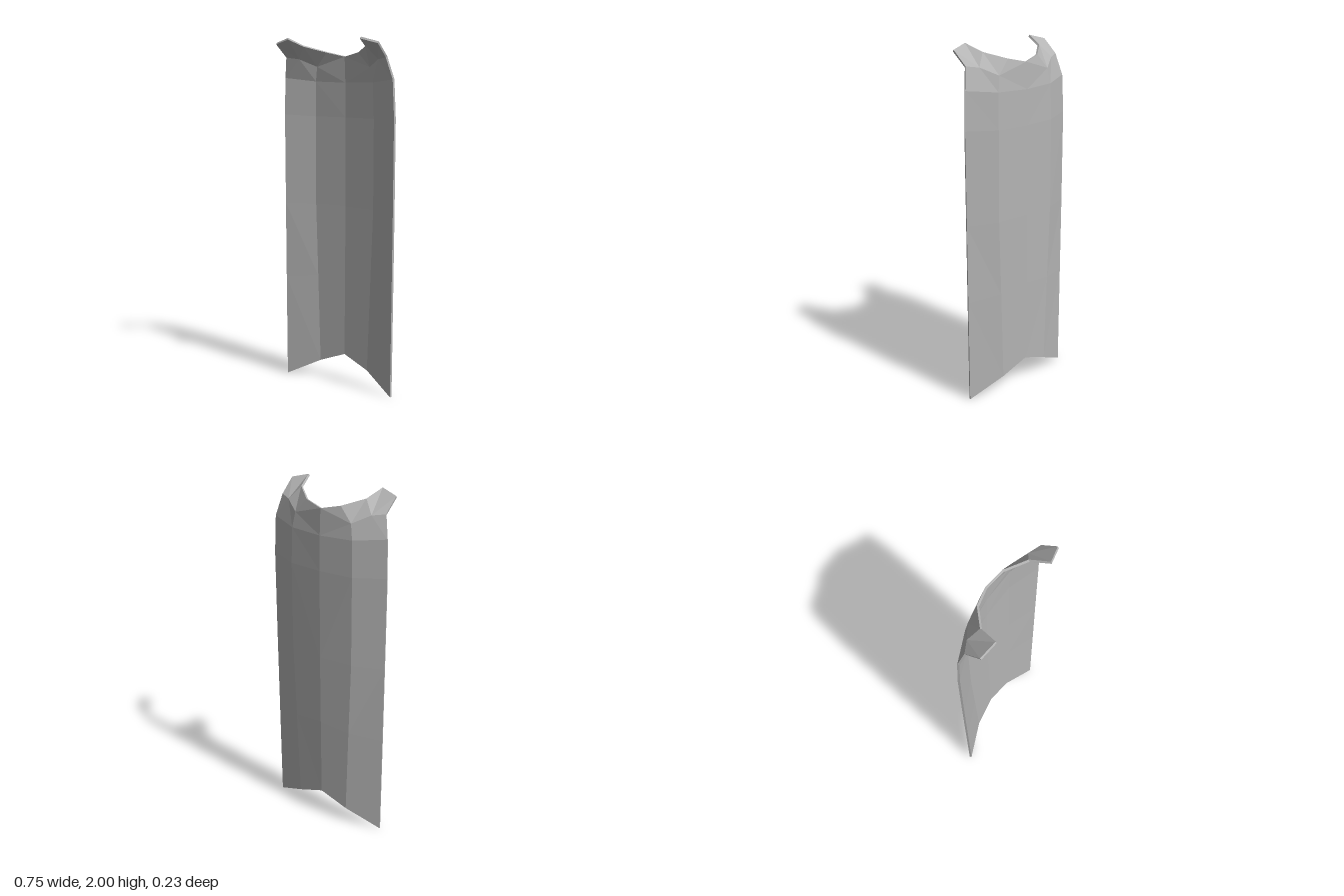
import * as THREE from 'three';

const THICKNESS = 0.012;

// Left half of the back surface: columns run centre, fold, side edge
const bodyRows = [
  [[0, 0.165, -0.112], [0.168, 0.1, -0.1], [0.367, 0, -0.033]],
  [[0, 0.64, -0.117], [0.185, 0.62, -0.103], [0.37, 0.6, -0.034]],
  [[0, 1.05, -0.12], [0.2, 1.05, -0.105], [0.372, 1.05, -0.035]],
  [[0, 1.56, -0.119], [0.2, 1.56, -0.105], [0.373, 1.57, -0.035]],
  [[0, 1.755, -0.116], [0.195, 1.76, -0.1], [0.364, 1.78, -0.031]],
];
// Collar and shoulder tabs
const collar = {
  fold: [0.18, 1.845, -0.09], shoulder: [0.268, 1.89, -0.035], side: [0.335, 1.9, -0.003],
  neck0: [0, 1.9, -0.108], neck1: [0.11, 1.925, -0.082], neck2: [0.21, 1.96, 0.003],
  tabIn: [0.24, 2, 0.107], tabOut: [0.337, 1.975, 0.086],
};

function halfPolygons() {
  const polys = [];
  for (let r = 0; r < bodyRows.length - 1; r++) {
    const a = bodyRows[r], b = bodyRows[r + 1];
    for (let c = 0; c < 2; c++) polys.push([a[c], a[c + 1], b[c + 1], b[c]]);
  }
  const [a0, a1, a2] = bodyRows[bodyRows.length - 1];
  const k = collar;
  polys.push(
    [k.fold, k.neck1, k.neck0, a0, a1],
    [k.shoulder, k.fold, a1, a2, k.side],
    [k.fold, k.shoulder, k.neck2, k.neck1],
    [k.shoulder, k.side, k.tabOut, k.tabIn, k.neck2],
  );
  return polys;
}

function clothGeometry() {
  const points = [], lookup = new Map(), tris = [];
  const indexOf = (p, sign) => {
    const q = [p[0] === 0 ? 0 : p[0] * sign, p[1], p[2]], key = q.join();
    if (!lookup.has(key)) {
      lookup.set(key, points.length);
      points.push(new THREE.Vector3(...q));
    }
    return lookup.get(key);
  };
  // Mirror the half and fan each polygon, facing forward
  for (const sign of [1, -1]) {
    for (const poly of halfPolygons()) {
      const ids = poly.map((p) => indexOf(p, sign));
      for (let i = 1; i < ids.length - 1; i++) {
        tris.push(sign > 0 ? [ids[0], ids[i], ids[i + 1]] : [ids[0], ids[i + 1], ids[i]]);
      }
    }
  }
  // Offset along averaged normals for the inner surface
  const normals = points.map(() => new THREE.Vector3());
  const edges = new Set();
  for (const [a, b, c] of tris) {
    const n = points[b].clone().sub(points[a]).cross(points[c].clone().sub(points[a])).normalize();
    for (const i of [a, b, c]) normals[i].add(n);
    edges.add(`${a},${b}`).add(`${b},${c}`).add(`${c},${a}`);
  }
  const count = points.length;
  const inner = points.map((p, i) => p.clone().addScaledVector(normals[i].normalize(), THICKNESS));
  const index = [];
  for (const [a, b, c] of tris) index.push(a, c, b, a + count, b + count, c + count);
  // Close the rim wherever an edge has only one face
  for (const edge of edges) {
    const [a, b] = edge.split(',').map(Number);
    if (!edges.has(`${b},${a}`)) index.push(b + count, a + count, a, b + count, a, b);
  }
  const indexed = new THREE.BufferGeometry().setFromPoints([...points, ...inner]);
  indexed.setIndex(index);
  const geometry = indexed.toNonIndexed();
  geometry.computeVertexNormals();
  return geometry;
}

export function createModel() {
  const group = new THREE.Group();
  group.name = 'cape';
  const grey = new THREE.MeshStandardMaterial({ color: 0xb4b4b4, flatShading: true });
  grey.name = 'grey cloth';
  const cloth = new THREE.Mesh(clothGeometry(), grey);
  cloth.name = 'capeCloth';
  group.add(cloth);
  return group;
}
